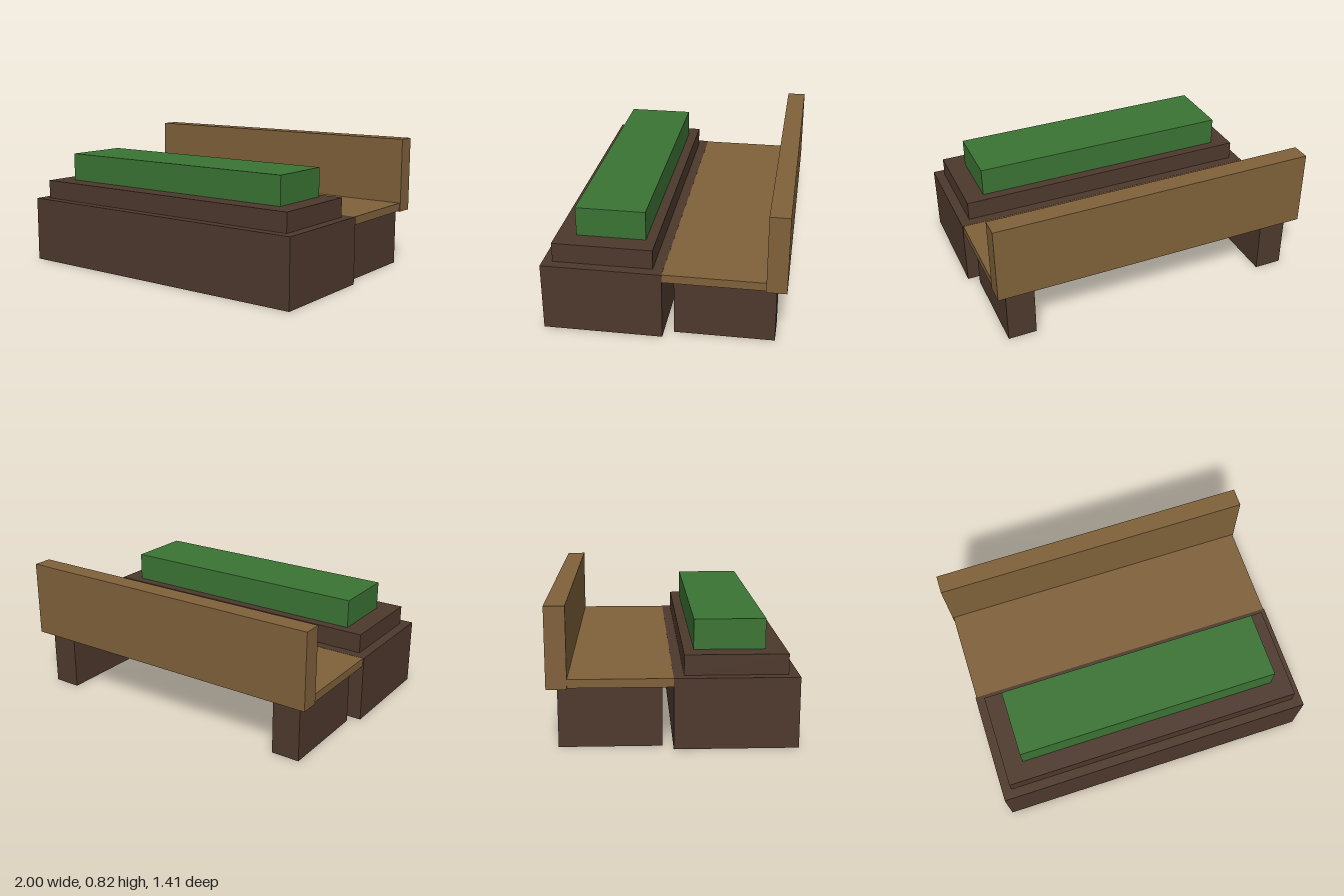
import * as THREE from 'three';

export function createModel() {
  const model = new THREE.Group();
  model.name = 'planterBench';

  const material = (name, color, side = THREE.FrontSide) => {
    const m = new THREE.MeshStandardMaterial({ color, side });
    m.name = name;
    return m;
  };
  const darkWood = material('darkWood', 0x4e392d, THREE.DoubleSide);
  const lightWood = material('lightWood', 0x80613a);
  const leafGreen = material('leafGreen', 0x3b7434);

  // Box given by its extents; openBottom drops the underside to leave a hollow shell
  function addBox(name, mat, [x0, x1], [y0, y1], [z0, z1], openBottom = false) {
    const geometry = new THREE.BoxGeometry(x1 - x0, y1 - y0, z1 - z0);
    if (openBottom) {
      const index = Array.from(geometry.index.array);
      index.splice(18, 6);
      geometry.clearGroups();
      geometry.setIndex(index);
    }
    const mesh = new THREE.Mesh(geometry, mat);
    mesh.name = name;
    mesh.position.set((x0 + x1) / 2, (y0 + y1) / 2, (z0 + z1) / 2);
    model.add(mesh);
  }

  // Planter: hollow base, stepped soil bed and clipped hedge
  addBox('planterBase', darkWood, [-1, 1], [0, 0.412], [0, 0.705], true);
  addBox('soilBed', darkWood, [-0.94, 0.94], [0.412, 0.53], [0.06, 0.647], true);
  addBox('hedge', leafGreen, [-0.82, 0.82], [0.53, 0.706], [0.12, 0.53]);

  // Bench: seat board, backrest and two hollow block legs
  addBox('seat', lightWood, [-0.994, 0.994], [0.361, 0.411], [-0.59, 0]);
  addBox('backrest', lightWood, [-1, 1], [0.355, 0.823], [-0.705, -0.588]);
  addBox('leftLeg', darkWood, [0.765, 0.94], [0, 0.354], [-0.647, -0.06], true);
  addBox('rightLeg', darkWood, [-0.94, -0.765], [0, 0.354], [-0.647, -0.06], true);

  return model;
}
